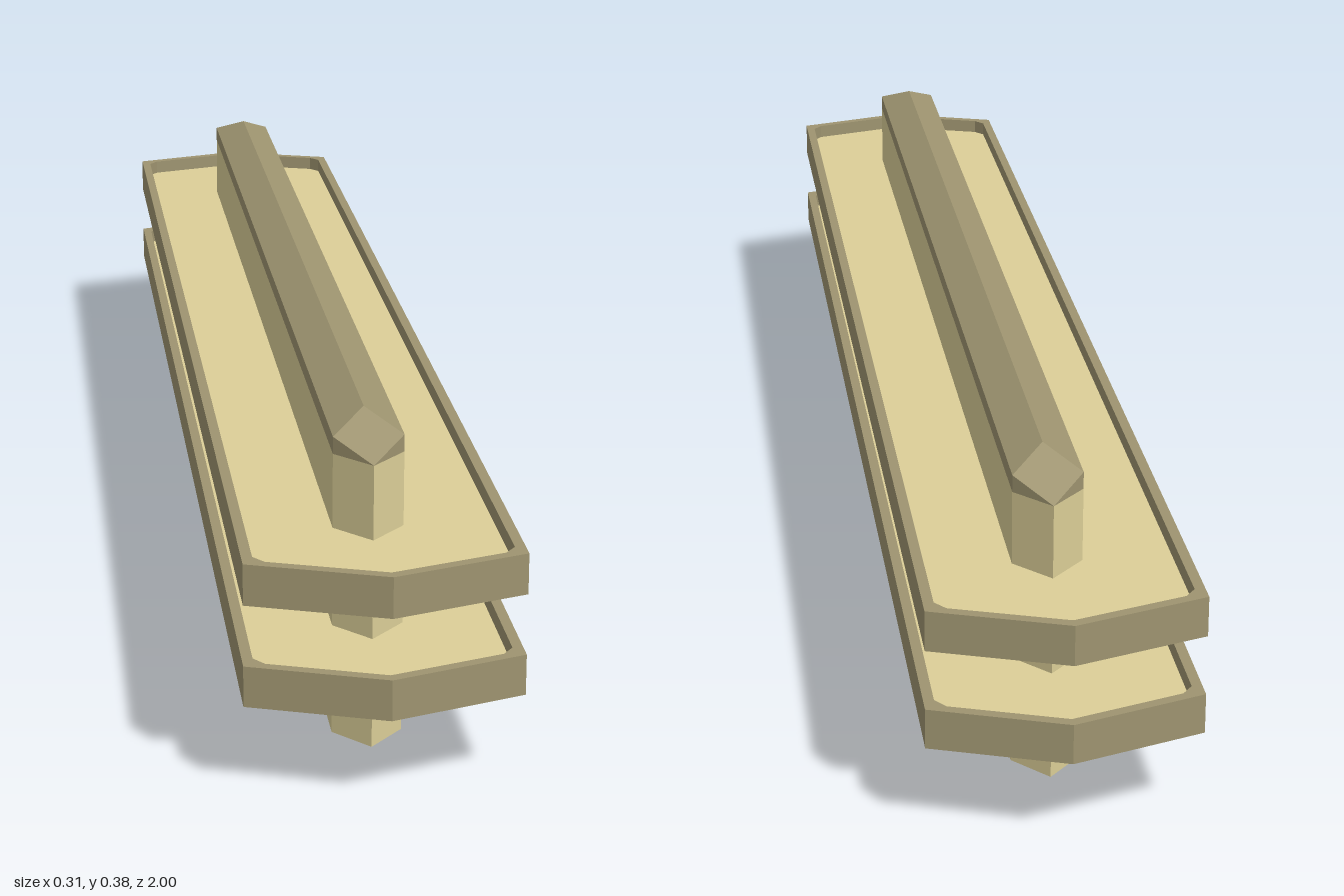
import * as THREE from 'three';
import { ConvexGeometry } from 'three/addons/geometries/ConvexGeometry.js';

const light = new THREE.MeshStandardMaterial({ color: 0xdccf98 });
light.name = 'pale sand';
const dark = new THREE.MeshStandardMaterial({ color: 0x9e9470 });
dark.name = 'dark sand';

// Mirrors one quarter outline (x, z from side to tip) into a full closed outline
function outline(quarter, tip) {
  const back = [...quarter].reverse();
  return [
    ...quarter, [0, tip],
    ...back.map(([x, z]) => [-x, z]),
    ...quarter.map(([x, z]) => [-x, -z]), [0, -tip],
    ...back.map(([x, z]) => [x, -z]),
  ].map(([x, z]) => new THREE.Vector2(x, z));
}

// Upright prism between two heights, with an optional hole
function prism(points, y0, y1, hole) {
  const shape = new THREE.Shape(points);
  if (hole) shape.holes.push(new THREE.Path(hole));
  const g = new THREE.ExtrudeGeometry(shape, { depth: y1 - y0, bevelEnabled: false });
  g.rotateX(-Math.PI / 2);
  g.translate(0, y0, 0);
  return g;
}

function add(parent, name, geometry, material) {
  const mesh = new THREE.Mesh(geometry, material);
  mesh.name = name;
  parent.add(mesh);
}

export function createModel() {
  const model = new THREE.Group();
  model.name = 'tieredTrays';

  // Central wall with pointed ends and a dark underside
  const W = 0.04, SIDE = 0.795, TIP = 0.84;
  const EAVE = 0.335;
  add(model, 'centralWall', prism(outline([[W, SIDE]], TIP), 0, EAVE), [dark, light]);

  // Hipped cap along the wall
  const cap = [];
  for (const s of [1, -1]) {
    cap.push(new THREE.Vector3(0, EAVE, s * TIP), new THREE.Vector3(0, 0.375, s * 0.75));
    for (const x of [W, -W]) {
      cap.push(new THREE.Vector3(x, EAVE, s * SIDE), new THREE.Vector3(x, 0.355, s * SIDE));
    }
  }
  add(model, 'wallCap', new ConvexGeometry(cap), dark);

  // Two shallow trays: a raised rim around a recessed floor
  const outer = outline([[0.154, 0.946]], 1);
  const inner = outline([[0.142, 0.925], [0.13, 0.941]], 0.986);
  [['lowerTray', 0.103], ['upperTray', 0.22]].forEach(([name, y]) => {
    const tray = new THREE.Group();
    tray.name = name;
    add(tray, 'rim', prism(outer, y, y + 0.047, inner), dark);
    add(tray, 'floor', prism(inner, y, y + 0.028), light);
    model.add(tray);
  });

  return model;
}
